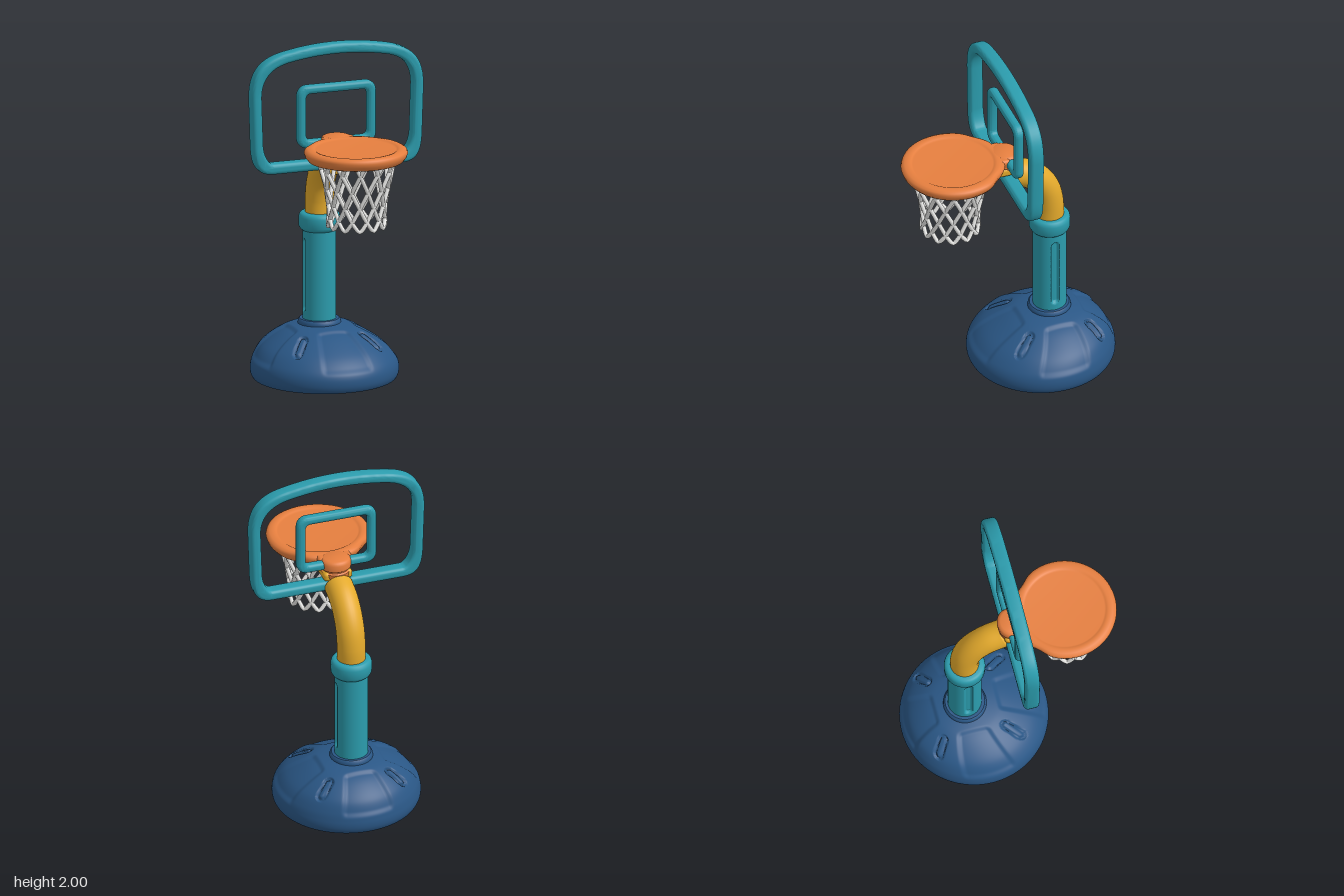
import * as THREE from 'three';
import { mergeVertices, toCreasedNormals } from 'three/addons/utils/BufferGeometryUtils.js';
import { RoundedBoxGeometry } from 'three/addons/geometries/RoundedBoxGeometry.js';

const material = (name, color) => {
  const m = new THREE.MeshStandardMaterial({ color });
  m.name = name;
  return m;
};
const vec2s = (pairs) => pairs.map(([x, y]) => new THREE.Vector2(x, y));
const ramp = (v, a, b) => THREE.MathUtils.smoothstep(v, a, b);

// Moves every vertex by a rule and rebuilds smooth, seamless normals
function deform(geometry, rule) {
  geometry.deleteAttribute('uv');
  geometry.deleteAttribute('normal');
  const p = geometry.attributes.position;
  const v = new THREE.Vector3();
  for (let i = 0; i < p.count; i++) {
    rule(v.fromBufferAttribute(p, i));
    p.setXYZ(i, v.x, v.y, v.z);
  }
  const g = mergeVertices(geometry, 1e-5);
  g.computeVertexNormals();
  return g;
}

// Half of the arched backboard outline, inset by d, mirrored to a full loop
function boardOutline(d) {
  const half = new THREE.Path();
  half.moveTo(0, 1.27 + d);
  half.lineTo(0.385, 1.27 + d);
  half.bezierCurveTo(0.475 - d, 1.27 + d, 0.505 - d, 1.32 + d, 0.509 - d, 1.44);
  half.lineTo(0.518 - d, 1.72);
  half.bezierCurveTo(0.518 - d, 1.88 - d, 0.44 - d / 2, 1.945 - d, 0.3, 1.97 - d);
  half.quadraticCurveTo(0.15, 2 - d, 0, 2 - d);
  const right = half.getPoints(14);
  const left = right.slice(1, -1).reverse().map((p) => new THREE.Vector2(-p.x, p.y));
  return right.concat(left);
}

// Rounded rectangle outline between given heights
function rectOutline(w, y0, y1, r) {
  const s = new THREE.Path();
  s.absarc(w - r, y0 + r, r, -Math.PI / 2, 0);
  s.absarc(w - r, y1 - r, r, 0, Math.PI / 2);
  s.absarc(-w + r, y1 - r, r, Math.PI / 2, Math.PI);
  s.absarc(-w + r, y0 + r, r, Math.PI, Math.PI * 1.5);
  return s.getPoints(8);
}

// Rounded bar frame centred in depth on z
function frameGeometry(outer, inner, depth, bevel, z) {
  const shape = new THREE.Shape(outer);
  shape.holes.push(new THREE.Path(inner));
  const g = new THREE.ExtrudeGeometry(shape, {
    depth: depth - 2 * bevel, bevelEnabled: true, bevelThickness: bevel,
    bevelSize: bevel, bevelOffset: -bevel, bevelSegments: 5,
  });
  g.translate(0, 0, z - depth / 2 + bevel);
  return toCreasedNormals(g, 0.7);
}

export function createModel() {
  const group = new THREE.Group();
  const teal = material('teal', 0x2b9cad);
  const blue = material('blue', 0x2a5786);
  const yellow = material('yellow', 0xe4aa2c);
  const orange = material('orange', 0xe67f3f);
  const white = material('white', 0xf0f0ee);
  const add = (name, geometry, mat, x = 0, y = 0, z = 0) => {
    const mesh = new THREE.Mesh(geometry, mat);
    mesh.name = name;
    mesh.position.set(x, y, z);
    group.add(mesh);
    return mesh;
  };

  // Weighted base: dome with four sunken panels and four slot grooves
  const domeProfile = new THREE.SplineCurve(vec2s([
    [0.385, 0], [0.405, 0.008], [0.419, 0.04], [0.418, 0.085], [0.4, 0.135],
    [0.355, 0.195], [0.28, 0.25], [0.2, 0.29], [0.11, 0.312],
  ])).getSpacedPoints(90);
  const dome = deform(new THREE.LatheGeometry(domeProfile, 288), (v) => {
    const r = Math.hypot(v.x, v.z);
    const a = Math.atan2(v.z, v.x);
    const q = Math.PI / 2;
    const toPanel = a - Math.round(a / q) * q;
    const u = r * Math.cos(toPanel);
    const side = Math.abs(r * Math.sin(toPanel));
    const halfWidth = 0.085 + 0.3 * (u - 0.18);
    const panel = ramp(u, 0.165, 0.2) * ramp(halfWidth - side, -0.018, 0.018) * ramp(v.y, 0.1, 0.15);
    const toSlot = a - (Math.floor(a / q) + 0.5) * q;
    const along = r * Math.cos(toSlot);
    const dist = Math.hypot(along - THREE.MathUtils.clamp(along, 0.26, 0.335), r * Math.sin(toSlot));
    const slot = 1 - ramp(Math.abs(dist - 0.022), 0.002, 0.011);
    const sink = 0.01 * panel + 0.012 * slot;
    v.y -= sink;
    v.x *= 1 - sink * 0.5 / r;
    v.z *= 1 - sink * 0.5 / r;
    v.z -= 0.05 * ramp(v.y, 0.08, 0.31);
  });
  add('base', dome, blue, 0.01, 0, -0.2);
  const underside = new THREE.SplineCurve(vec2s([
    [0, 0.05], [0.2, 0.045], [0.33, 0.03], [0.375, 0.015], [0.385, 0],
  ])).getPoints(20);
  add('baseUnderside', new THREE.LatheGeometry(underside, 64), blue, 0.01, 0, -0.2);
  add('baseNeck', toCreasedNormals(new THREE.LatheGeometry(vec2s([
    [0.125, 0.28], [0.122, 0.315], [0.12, 0.328], [0.112, 0.336], [0.08, 0.336],
  ]), 48), 0.7), blue, 0, 0, -0.255);

  // Post with a long slot pressed into each side
  const post = deform(new THREE.CylinderGeometry(0.095, 0.095, 0.56, 128, 84, true), (v) => {
    const d = Math.hypot(v.z, v.y - THREE.MathUtils.clamp(v.y, -0.2, 0.18));
    v.x -= Math.sign(v.x) * 0.018 * (1 - ramp(d, 0.015, 0.024));
  });
  add('post', post, teal, 0, 0.6, -0.257);
  add('collar', toCreasedNormals(new THREE.LatheGeometry(vec2s([
    [0.09, 0.848], [0.1, 0.85], [0.109, 0.858], [0.116, 0.872], [0.117, 0.925],
    [0.113, 0.94], [0.105, 0.949], [0.094, 0.953], [0.07, 0.953],
  ]), 48), 0.8), teal, 0, 0, -0.257);

  // Curved arm ending behind the lower bar of the backboard
  const armPath = new THREE.CatmullRomCurve3([
    [0.92, -0.257], [1.03, -0.256], [1.13, -0.235], [1.21, -0.187], [1.268, -0.118], [1.3, -0.035],
  ].map(([y, z]) => new THREE.Vector3(0, y, z)));
  add('arm', new THREE.TubeGeometry(armPath, 40, 0.081, 32), yellow);
  const tip = add('armTip', new THREE.SphereGeometry(0.081, 32, 16), yellow, 0, 1.3, -0.035);
  tip.scale.z = 0.3;
  tip.rotation.x = -0.36;
  add('armMount', new RoundedBoxGeometry(0.17, 0.055, 0.14, 4, 0.02), yellow, 0, 1.362, 0.03);

  // Backboard frame and target frame
  add('backboardFrame', frameGeometry(boardOutline(0), boardOutline(0.061), 0.086, 0.022, 0.009), teal);
  add('targetFrame', frameGeometry(
    rectOutline(0.236, 1.4, 1.766, 0.06), rectOutline(0.184, 1.45, 1.715, 0.025), 0.055, 0.02, 0.009), teal);

  // Hoop: filled disc with a raised rim, slightly flattened towards the board
  const hoopProfile = vec2s([
    [0, 1.425], [0.225, 1.422], [0.235, 1.395], [0.25, 1.386], [0.27, 1.392], [0.286, 1.412],
    [0.294, 1.435], [0.288, 1.45], [0.272, 1.459], [0.25, 1.461], [0.235, 1.457], [0.225, 1.45], [0, 1.45],
  ]);
  const hoop = deform(new THREE.LatheGeometry(hoopProfile, 96), (v) => {
    const r = Math.hypot(v.x, v.z);
    const a = Math.abs(Math.atan2(v.x, -v.z));
    const k = 1 - 0.045 * Math.exp(-(((a - 0.8) / 0.2) ** 2)) * ramp(r, 0.25, 0.29);
    v.x *= k;
    v.z *= k;
  });
  add('hoop', hoop, orange, 0, 0, 0.325);

  // Hoop bracket clipped over the backboard
  add('bracket', toCreasedNormals(new THREE.LatheGeometry(vec2s([
    [0, 1.345], [0.07, 1.345], [0.082, 1.355], [0.084, 1.38], [0.074, 1.388], [0.074, 1.394],
    [0.086, 1.402], [0.088, 1.44], [0.08, 1.455], [0.066, 1.461], [0, 1.461],
  ]), 40), 0.8), orange, 0, 0, 0.015).scale.z = 0.92;
  add('bracketNeck', new RoundedBoxGeometry(0.2, 0.066, 0.07, 4, 0.02), orange, 0, 1.425, 0.045);

  // Net: two sets of strands winding in opposite directions
  const net = new THREE.Group();
  net.name = 'net';
  net.position.set(0, 0, 0.34);
  const strands = 12;
  for (let i = 0; i < strands; i++) {
    // Each pair is one cord: down one side, round the bottom loop, up the other
    const points = [];
    for (let j = -14; j <= 14; j++) {
      const t = Math.abs(j) / 14;
      const a = ((i + 0.5) / strands) * Math.PI * 2 + Math.sign(j) * 1.2 * Math.pow(t, 0.75);
      const r = 0.152 + 0.07 * Math.pow(t, 1.7) + 0.01 * (1 - ramp(t, 0, 0.3));
      points.push(new THREE.Vector3(r * Math.sin(a), 1.013 + 0.4 * t, r * Math.cos(a)));
    }
    const cord = new THREE.Mesh(
      new THREE.TubeGeometry(new THREE.CatmullRomCurve3(points), 72, 0.0125, 8), white);
    cord.name = 'netCord';
    net.add(cord);
  }
  group.add(net);
  return group;
}
